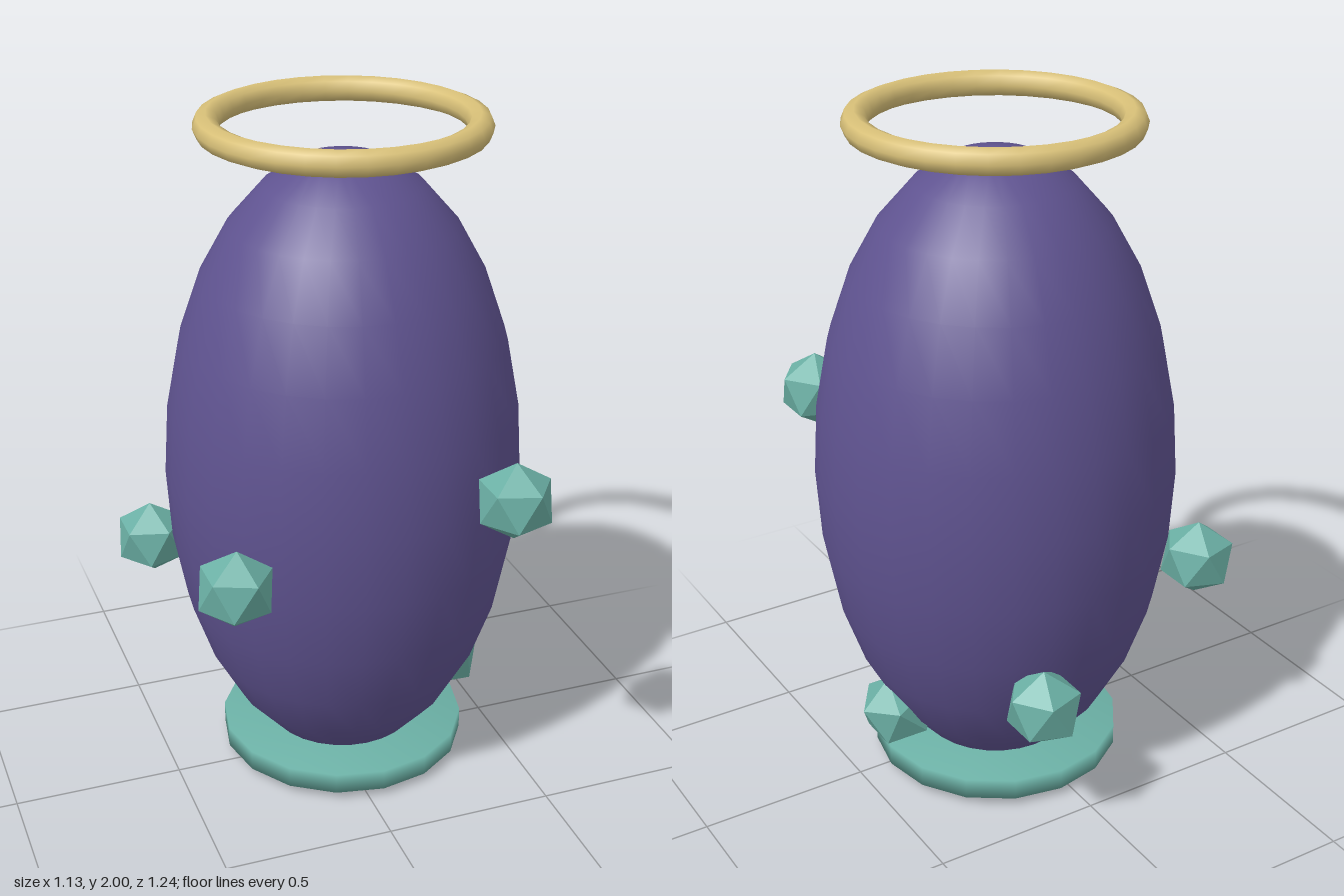
import * as THREE from 'three';
import { mergeVertices } from 'three/addons/utils/BufferGeometryUtils.js';

const material = (name, color, flatShading = false) => {
  const m = new THREE.MeshStandardMaterial({ color, flatShading });
  m.name = name;
  return m;
};

export function createModel() {
  const model = new THREE.Group();
  const purple = material('purple', 0x5f5390);
  const teal = material('teal', 0x6bb0a5);
  const gold = material('gold', 0xd8c078);

  // Axis shared by body, base and halo
  const cx = 0.045, cz = -0.04;

  const add = (name, geometry, mat, x, y, z) => {
    const mesh = new THREE.Mesh(geometry, mat);
    mesh.name = name;
    mesh.position.set(x, y, z);
    model.add(mesh);
    return mesh;
  };

  // Egg-shaped body
  const egg = new THREE.SphereGeometry(1, 28, 14).scale(0.52, 0.945, 0.52);
  add('body', egg, purple, cx, 0.945, cz);

  // Base disc with softly shaded rim
  let disc = new THREE.CylinderGeometry(0.37, 0.37, 0.063, 16);
  disc.deleteAttribute('normal');
  disc.deleteAttribute('uv');
  disc = mergeVertices(disc);
  disc.computeVertexNormals();
  add('base', disc, teal, cx, 0.055, cz);

  // Floating ring above the body
  const ring = new THREE.TorusGeometry(0.373, 0.037, 8, 32).rotateX(-Math.PI / 2);
  add('halo', ring, gold, cx, 1.963, cz);

  // Faceted crystals around the body, turned so one corner points up
  const crystal = new THREE.IcosahedronGeometry(0.115, 0)
    .rotateZ(-Math.atan(2 / (1 + Math.sqrt(5))));
  const crystals = [
    // x, y, z, sideways tilt
    [0.34, 1.035, 0.52, 0],
    [-0.42, 0.84, 0.395, -0.05],
    [-0.465, 0.63, -0.35, 0.03],
    [0.385, 0.215, -0.035, -0.26],
    [0.185, 0.43, -0.525, 0],
  ];
  crystals.forEach(([x, y, z, tilt], i) => {
    add(`crystal${i + 1}`, crystal, teal, x, y, z).rotation.z = tilt;
  });

  return model;
}
